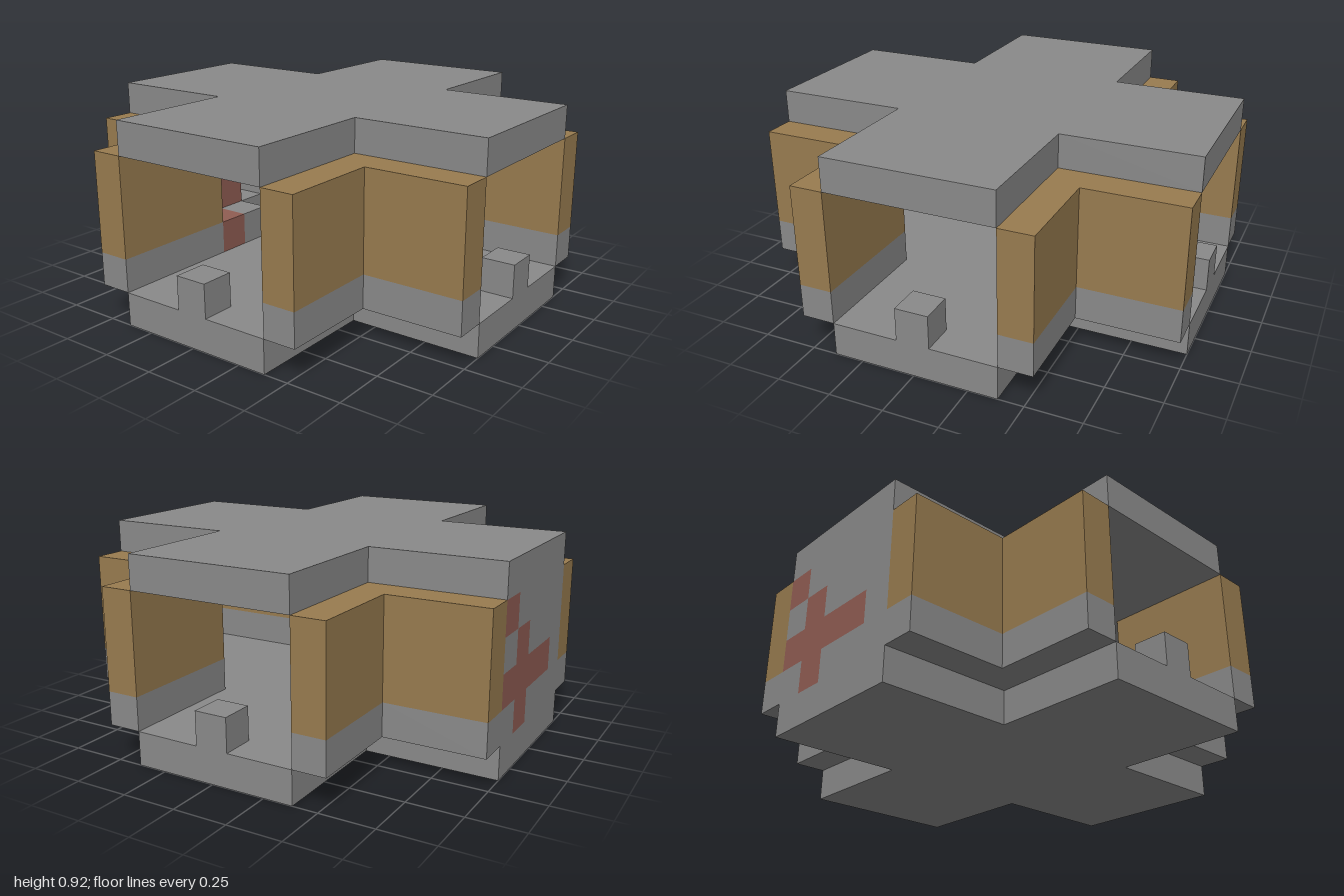
import * as THREE from 'three';

const U = 2 / 13;      // block size
const H = 2.5 * U;     // half width of a corridor
const W = H + U;       // outer side of a corridor wall

const stone = new THREE.MeshStandardMaterial({ name: 'grey stone', color: 0x8a8a8a });
const planks = new THREE.MeshStandardMaterial({ name: 'brown planks', color: 0x987b4f });
const brick = new THREE.MeshStandardMaterial({ name: 'red brick', color: 0x905d53 });

// Flat outline (x, z) raised from y0 by a height
function slab(points, y0, height) {
  const shape = new THREE.Shape(points.map(([x, z]) => new THREE.Vector2(x, -z)));
  return new THREE.ExtrudeGeometry(shape, { depth: height, bevelEnabled: false })
    .rotateX(-Math.PI / 2).translate(0, y0, 0);
}

function add(parent, name, geometry, material) {
  const mesh = new THREE.Mesh(geometry, material);
  mesh.name = name;
  parent.add(mesh);
  return mesh;
}

export function createModel() {
  const model = new THREE.Group();
  model.name = 'corridorCrossing';

  // Cross-shaped floor and ceiling
  const cross = [
    [H, 1], [H, H], [1, H], [1, -H], [H, -H], [H, -1],
    [-H, -1], [-H, -H], [-1, -H], [-1, H], [-H, H], [-H, 1],
  ];
  add(model, 'floor', slab(cross, 0, U), stone);
  add(model, 'ceiling', slab(cross, 5 * U, U), stone);

  // L-shaped corner walls: stone base course with planks above
  const corner = [[H, H], [1, H], [1, W], [W, W], [W, 1], [H, 1]];
  const base = slab(corner, U, U);
  const upper = slab(corner, 2 * U, 3 * U);
  for (let i = 0; i < 4; i++) {
    const wall = new THREE.Group();
    wall.name = 'cornerWall';
    wall.rotation.y = i * Math.PI / 2;
    add(wall, 'wallBase', base, stone);
    add(wall, 'wallPlanks', upper, planks);
    model.add(wall);
  }

  // Single block in the middle of each open doorway
  const block = new THREE.BoxGeometry(U, U, U);
  for (const [x, z] of [[0, 1], [1, 0], [-1, 0]]) {
    add(model, 'doorBlock', block, stone)
      .position.set(x * (1 - U / 2), 1.5 * U, z * (1 - U / 2));
  }

  // Rubble closing the back corridor, rows from the top; R marks brick
  const outside = ['....R', '...R.', '.RRRR', '...R.'];
  const inside = ['.R..R', 'R..R.', '.R...', 'R....'];
  const depth = [[1, 2, 1, 1, 1], [2, 2, 2, 1, 1], [2, 3, 2, 3, 3], [4, 4, 3, 3, 4]];
  const rubble = new THREE.Group();
  rubble.name = 'rubble';
  const tint = (rows, r, c) => (rows[r][c] === 'R' ? brick : stone);
  for (let r = 0; r < 4; r++) {
    for (let c = 0; c < 5; c++) {
      const x = (c - 2) * U, y = (4.5 - r) * U, extra = depth[r][c] - 1;
      add(rubble, 'rubbleBlock', block, tint(outside, r, c)).position.set(x, y, -1 + U / 2);
      if (extra > 0) {
        add(rubble, 'fallenBlock', new THREE.BoxGeometry(U, U, extra * U), tint(inside, r, c))
          .position.set(x, y, -1 + U + extra * U / 2);
      }
    }
  }
  model.add(rubble);
  return model;
}
